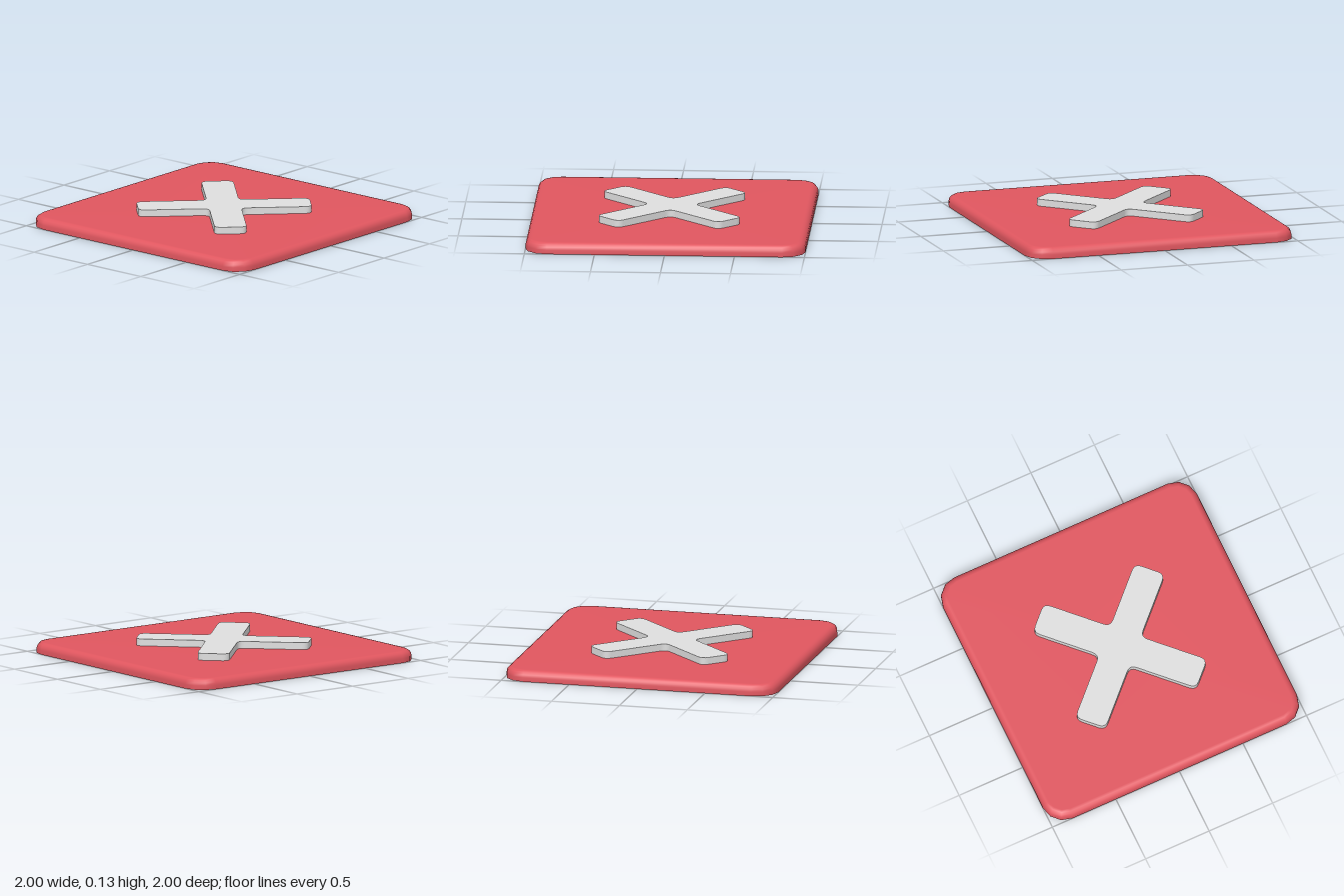
import * as THREE from 'three';

// Joins rings of [x, y, z] points, listed from bottom to top, into an open skin
function loft(rings) {
  const n = rings[0].length, index = [];
  for (let r = 0; r < rings.length - 1; r++) {
    for (let i = 0; i < n; i++) {
      const j = (i + 1) % n;
      const a = r * n + i, b = r * n + j, c = a + n, d = b + n;
      index.push(a, c, b, c, d, b);
    }
  }
  const geo = new THREE.BufferGeometry();
  geo.setAttribute('position', new THREE.Float32BufferAttribute(rings.flat(2), 3));
  geo.setIndex(index);
  geo.computeVertexNormals();
  return geo;
}

// Rounded square outline, pulled in by inset
function squareRing(inset, y) {
  const core = 0.84, radius = 0.16 - inset, steps = 3, ring = [];
  for (let q = 0; q < 4; q++) {
    const mid = Math.PI / 4 + q * Math.PI / 2;
    const cx = core * Math.sign(Math.cos(mid)), cz = core * Math.sign(Math.sin(mid));
    for (let s = 0; s <= steps; s++) {
      const a = (q + s / steps) * Math.PI / 2;
      ring.push([cx + radius * Math.cos(a), y, cz + radius * Math.sin(a)]);
    }
  }
  return ring;
}

// Diagonal cross outline with every corner softened
function crossOutline() {
  const len = 0.62, half = 0.115, round = 0.052, steps = 4, corners = [], out = [];
  for (let q = 0; q < 4; q++) {
    for (const [x, z] of [[len, -half], [len, half], [half, half]]) {
      corners.push(new THREE.Vector2(x, z)
        .rotateAround(new THREE.Vector2(), Math.PI / 4 + q * Math.PI / 2));
    }
  }
  corners.forEach((c, i) => {
    const toward = (p) => p.clone().sub(c).setLength(round).add(c);
    const prev = corners[(i + 11) % 12], next = corners[(i + 1) % 12];
    out.push(...new THREE.QuadraticBezierCurve(toward(prev), c, toward(next)).getPoints(steps));
  });
  return out;
}

export function createModel() {
  const model = new THREE.Group();
  const red = new THREE.MeshStandardMaterial({ color: 0xe0565f, side: THREE.DoubleSide });
  red.name = 'red';
  const grey = new THREE.MeshStandardMaterial({ color: 0xdedede, side: THREE.DoubleSide });
  grey.name = 'light grey';

  const add = (name, geo, material, parent) => {
    const mesh = new THREE.Mesh(geo, material);
    mesh.name = name;
    parent.add(mesh);
  };

  // Base: hollow shell, open underneath, with a rounded upper edge
  const rings = [squareRing(0, 0)];
  const bevel = 0.05, steps = 4;
  for (let s = 0; s <= steps; s++) {
    const a = s / steps * Math.PI / 2;
    rings.push(squareRing(bevel * (1 - Math.cos(a)), 0.03 + bevel * Math.sin(a)));
  }
  rings.push(rings[0].map(() => [0, 0.08, 0]));
  add('baseTile', loft(rings), red, model);

  // Raised cross: side walls and a flat top, open underneath
  const cross = new THREE.Group();
  cross.name = 'cross';
  model.add(cross);
  const outline = crossOutline();
  const at = (y) => outline.map((p) => [p.x, y, p.y]);
  add('crossWalls', loft([at(0.079), at(0.13)]), grey, cross);
  add('crossTop', loft([at(0.13), outline.map(() => [0, 0.13, 0])]), grey, cross);

  return model;
}
